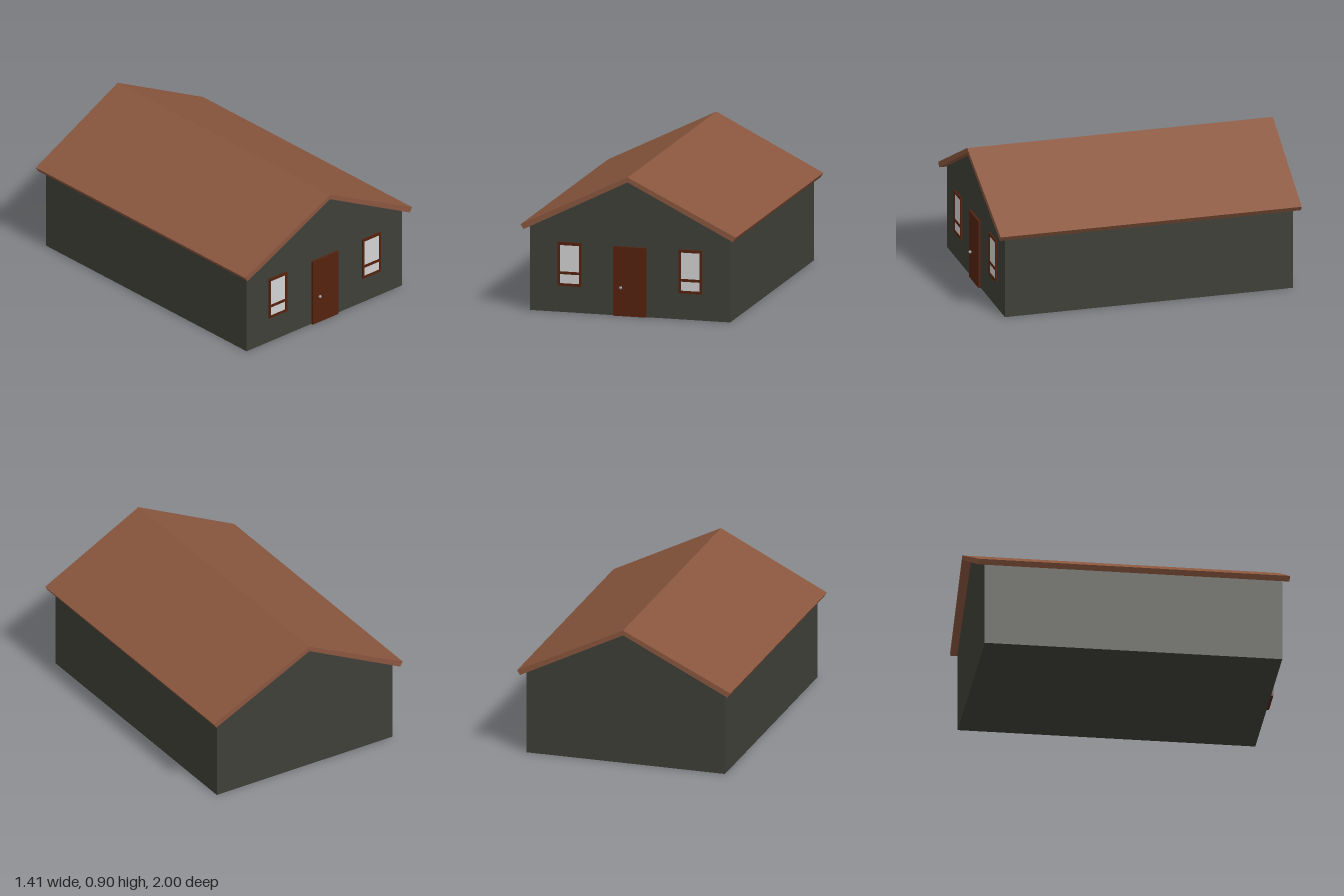
import * as THREE from 'three';

const material = (name, color) => {
  const m = new THREE.MeshStandardMaterial({ color });
  m.name = name;
  return m;
};

export function createModel() {
  const house = new THREE.Group();
  house.name = 'house';
  const wallPaint = material('wall charcoal', 0x3f3f38);
  const roofTile = material('roof clay', 0x89563e);
  const wood = material('dark wood', 0x54220e);
  const glass = material('window glass', 0xd2d2d2);
  const metal = material('knob metal', 0x9a9a9a);
  const wallZ = 0.943;

  const add = (parent, name, geometry, mat, x = 0, y = 0, z = 0) => {
    const mesh = new THREE.Mesh(geometry, mat);
    mesh.name = name;
    mesh.position.set(x, y, z);
    parent.add(mesh);
    return mesh;
  };

  // Outline extruded along z and centred on it
  const prism = (points, halfLength) => {
    const shape = new THREE.Shape(points.map(([x, y]) => new THREE.Vector2(x, y)));
    return new THREE.ExtrudeGeometry(shape, { depth: 2 * halfLength, bevelEnabled: false })
      .translate(0, 0, -halfLength);
  };

  // Gabled body
  add(house, 'walls', prism(
    [[-0.655, 0], [0.655, 0], [0.655, 0.542], [0, 0.873], [-0.655, 0.542]], wallZ), wallPaint);

  // Roof slab, a little longer at the ridge than at the eaves
  const roof = prism([[-0.685, 0.527], [0, 0.873], [0.685, 0.527],
    [0.705, 0.557], [0, 0.905], [-0.705, 0.557]], 1);
  const p = roof.attributes.position;
  for (let i = 0; i < p.count; i++) {
    p.setZ(i, p.getZ(i) * (1 - 0.0213 * Math.abs(p.getX(i))));
  }
  roof.computeVertexNormals();
  add(house, 'roof', roof, roofTile);

  // Front door with knob
  const door = new THREE.Group();
  door.name = 'door';
  house.add(door);
  add(door, 'doorPanel', new THREE.BoxGeometry(0.216, 0.446, 0.015), wood, 0, 0.223, wallZ + 0.0075);
  add(door, 'knobStem', new THREE.CylinderGeometry(0.004, 0.004, 0.008, 10).rotateX(Math.PI / 2),
    metal, -0.055, 0.184, wallZ + 0.018);
  add(door, 'knob', new THREE.SphereGeometry(0.01, 14, 10), metal, -0.055, 0.184, wallZ + 0.023);

  // Windows: frame with two openings over a pane
  const hole = (x, y, w, h) => new THREE.Path([
    new THREE.Vector2(x, y), new THREE.Vector2(x, y + h),
    new THREE.Vector2(x + w, y + h), new THREE.Vector2(x + w, y)]);
  for (const side of [-1, 1]) {
    const windowGroup = new THREE.Group();
    windowGroup.name = side > 0 ? 'leftWindow' : 'rightWindow';
    windowGroup.position.set(side * 0.395, 0.17, wallZ);
    house.add(windowGroup);
    const frame = new THREE.Shape([
      new THREE.Vector2(-0.076, 0), new THREE.Vector2(0.076, 0),
      new THREE.Vector2(0.076, 0.28), new THREE.Vector2(-0.076, 0.28)]);
    frame.holes.push(hole(-0.062, 0.016, 0.124, 0.059), hole(-0.062, 0.092, 0.124, 0.17));
    add(windowGroup, 'windowFrame',
      new THREE.ExtrudeGeometry(frame, { depth: 0.009, bevelEnabled: false }), wood);
    add(windowGroup, 'windowPane', new THREE.BoxGeometry(0.14, 0.264, 0.004), glass, 0, 0.139, 0.002);
  }
  return house;
}
